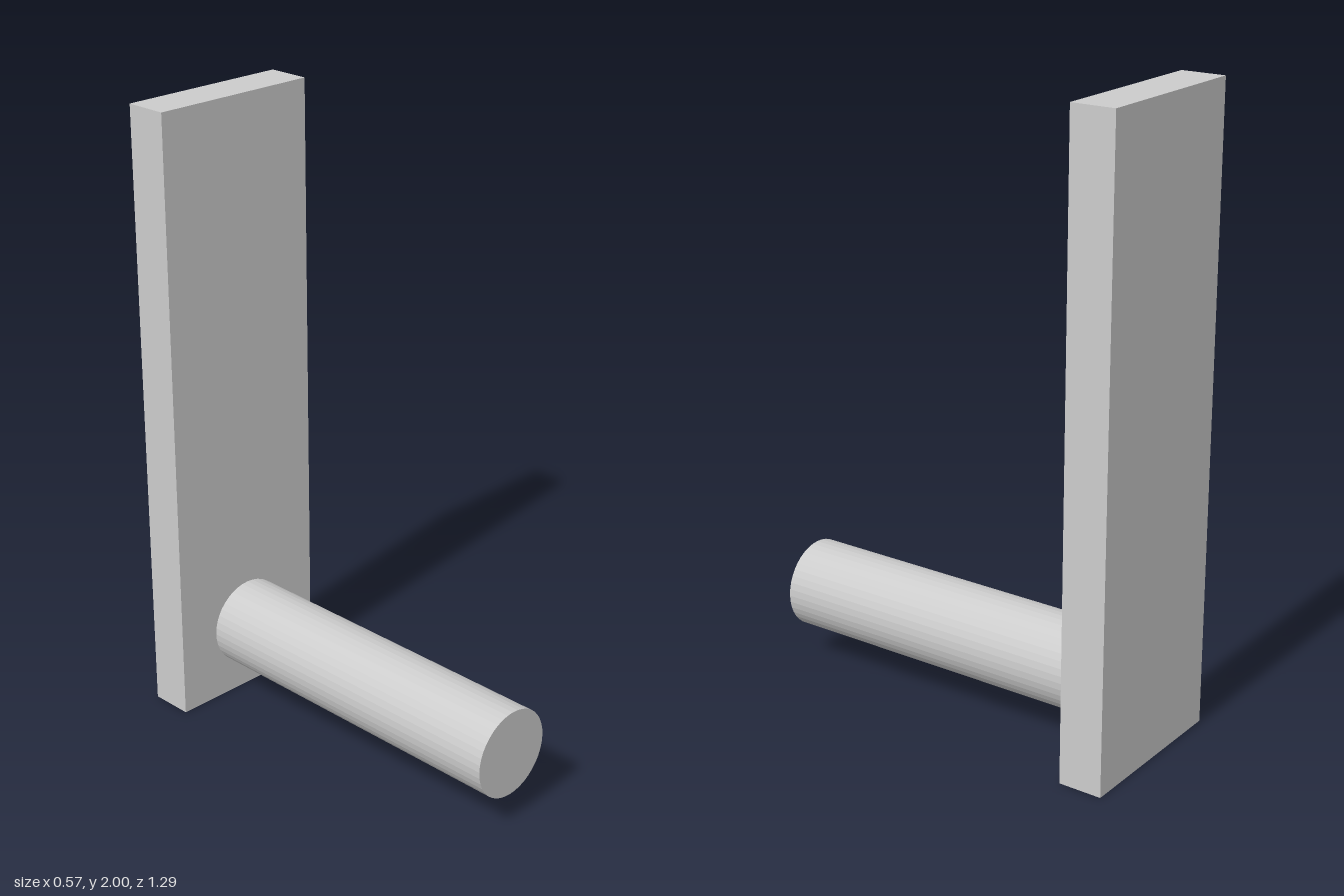
import * as THREE from 'three';

export function createModel() {
  const model = new THREE.Group();
  const material = new THREE.MeshStandardMaterial({ color: 0xcccccc, flatShading: true });

  const back = -0.643, plateFront = -0.502, pegEnd = 0.643;

  // Upright back plate
  const thickness = plateFront - back;
  const plate = new THREE.Mesh(new THREE.BoxGeometry(0.568, 2, thickness), material);
  plate.name = 'backPlate';
  plate.position.set(0, 1, back + thickness / 2);
  model.add(plate);

  // Round peg standing out from the lower part of the plate
  const length = pegEnd - plateFront;
  const pegGeometry = new THREE.CylinderGeometry(0.142, 0.142, length, 40);
  pegGeometry.rotateX(Math.PI / 2);
  const peg = new THREE.Mesh(pegGeometry, material);
  peg.name = 'peg';
  peg.position.set(0, 0.234, plateFront + length / 2);
  model.add(peg);

  return model;
}
